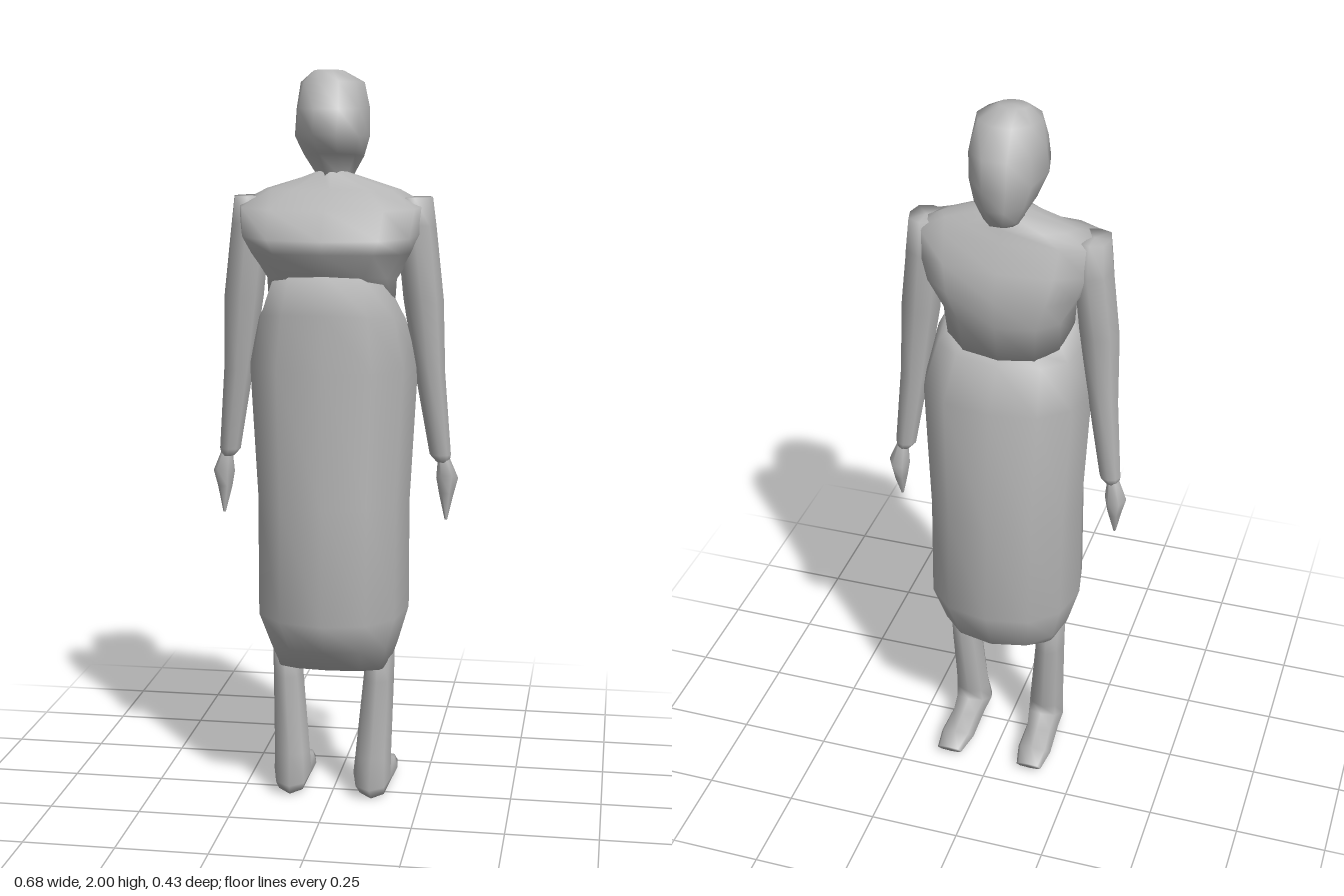
import * as THREE from 'three';

const grey = new THREE.MeshStandardMaterial({ color: 0xb4b4b4 });
grey.name = 'plain grey';

// Loft from top to bottom. Ring: [x0, x1, zFront, yFront, zBack, yBack, squareness, zMiddle]
function loft(name, rings, sides) {
  const pos = [], idx = [];
  for (const [x0, x1, zf, yf, zb, yb, p = 1, zm = (zf + zb) / 2] of rings) {
    for (let j = 0; j < sides; j++) {
      const a = (j / sides) * Math.PI * 2;
      const c = Math.cos(a), s = Math.sin(a);
      const u = Math.sign(c) * Math.abs(c) ** p, v = Math.sign(s) * Math.abs(s) ** p;
      const z = v > 0 ? zm + (zf - zm) * v : zm + (zm - zb) * v;
      const y = (yf + yb) / 2 + ((yf - yb) / 2) * v;
      pos.push((x0 + x1) / 2 + ((x1 - x0) / 2) * u, y, z);
    }
  }
  for (let i = 0; i < rings.length - 1; i++) {
    for (let j = 0; j < sides; j++) {
      const a = i * sides + j, b = i * sides + ((j + 1) % sides);
      idx.push(a, b, a + sides, b, b + sides, a + sides);
    }
  }
  // end caps
  for (const top of [true, false]) {
    const r = top ? rings[0] : rings[rings.length - 1];
    const start = top ? 0 : (rings.length - 1) * sides;
    const centre = pos.length / 3;
    pos.push((r[0] + r[1]) / 2, (r[3] + r[5]) / 2, (r[2] + r[4]) / 2);
    for (let j = 0; j < sides; j++) {
      const a = start + j, b = start + ((j + 1) % sides);
      if (top) idx.push(centre, b, a); else idx.push(centre, a, b);
    }
  }
  const g = new THREE.BufferGeometry();
  g.setAttribute('position', new THREE.Float32BufferAttribute(pos, 3));
  g.setIndex(idx);
  g.computeVertexNormals();
  const mesh = new THREE.Mesh(g, grey);
  mesh.name = name;
  return mesh;
}

// the same rings on the other side of the body
const mirror = rings => rings.map(([x0, x1, ...rest]) => [-x1, -x0, ...rest]);

export function createModel() {
  const group = new THREE.Group();
  group.name = 'robedFigure';

  // head with a knot of hair overhanging the neck
  group.add(loft('head', [
    [-0.05, 0.03, 0.04, 2.0, -0.01, 1.995],
    [-0.085, 0.085, 0.09, 1.97, -0.065, 1.965],
    [-0.098, 0.098, 0.13, 1.9, -0.125, 1.9, 0.95],
    [-0.1, 0.1, 0.16, 1.835, -0.133, 1.82, 1, 0.02],
    [-0.08, 0.08, 0.095, 1.785, -0.125, 1.765],
    [-0.052, 0.052, 0.05, 1.735, -0.11, 1.72],
    [-0.045, 0.045, 0.05, 1.69, -0.045, 1.69],
  ], 10));

  // neck, sloping shoulders and the full upper garment
  group.add(loft('upperGarment', [
    [-0.05, 0.05, 0.045, 1.74, -0.05, 1.72],
    [-0.18, 0.18, 0.065, 1.69, -0.06, 1.69, 0.85],
    [-0.255, 0.255, 0.16, 1.64, -0.075, 1.66, 0.75, 0.01],
    [-0.245, 0.245, 0.21, 1.565, -0.11, 1.59, 0.75, 0.03],
    [-0.22, 0.22, 0.2, 1.53, -0.135, 1.52, 0.75, 0.03],
    [-0.175, 0.175, 0.165, 1.47, -0.122, 1.44, 0.75, 0.03],
    [-0.17, 0.17, 0.12, 1.42, -0.1, 1.33, 0.8, 0.03],
  ], 12));

  // long skirt, gathered in at the hem
  group.add(loft('skirt', [
    [-0.165, 0.165, 0.165, 1.48, -0.09, 1.35, 0.8, 0.03],
    [-0.2, 0.2, 0.175, 1.37, -0.11, 1.32, 0.8, 0.02],
    [-0.23, 0.23, 0.185, 1.22, -0.183, 1.215, 0.85],
    [-0.21, 0.21, 0.2, 0.85, -0.2, 0.85, 0.85],
    [-0.21, 0.21, 0.215, 0.54, -0.215, 0.56, 0.85],
    [-0.18, 0.18, 0.17, 0.455, -0.17, 0.44, 0.9],
    [-0.155, 0.155, 0.1, 0.385, -0.07, 0.37, 0.85],
  ], 12));

  // arms with tapering sleeves
  const arm = [
    [0.18, 0.267, 0.06, 1.67, -0.045, 1.67, 0.75],
    [0.17, 0.277, 0.068, 1.6, -0.06, 1.58, 0.85],
    [0.19, 0.298, 0.055, 1.4, -0.045, 1.4],
    [0.222, 0.303, 0.032, 1.2, -0.042, 1.2],
    [0.262, 0.32, 0.008, 0.975, -0.042, 0.975],
    [0.28, 0.316, 0, 0.955, -0.034, 0.955],
  ];
  // hands pointing down
  const hand = [
    [0.285, 0.315, -0.002, 0.97, -0.032, 0.97],
    [0.28, 0.34, 0.005, 0.92, -0.05, 0.9],
    [0.288, 0.328, 0, 0.87, -0.045, 0.86],
    [0.305, 0.312, -0.008, 0.795, -0.018, 0.795],
  ];
  // legs running on into the feet, whose toes point to -z
  const leg = [
    [0.09, 0.172, 0.05, 0.45, -0.06, 0.45],
    [0.085, 0.17, 0.05, 0.34, -0.055, 0.34],
    [0.065, 0.165, 0.062, 0.12, -0.035, 0.12],
    [0.06, 0.165, 0.082, 0.035, -0.04, 0.095, 0.8],
    [0.07, 0.16, 0.06, 0.005, -0.09, 0.078, 0.8],
    [0.07, 0.167, -0.1, 0.004, -0.15, 0.06, 0.8],
    [0.085, 0.158, -0.185, 0.012, -0.205, 0.045, 0.8],
  ];
  for (const [part, rings, sides] of [['Arm', arm, 8], ['Hand', hand, 6], ['Leg', leg, 8]]) {
    group.add(loft('left' + part, rings, sides));
    group.add(loft('right' + part, mirror(rings), sides));
  }
  return group;
}
